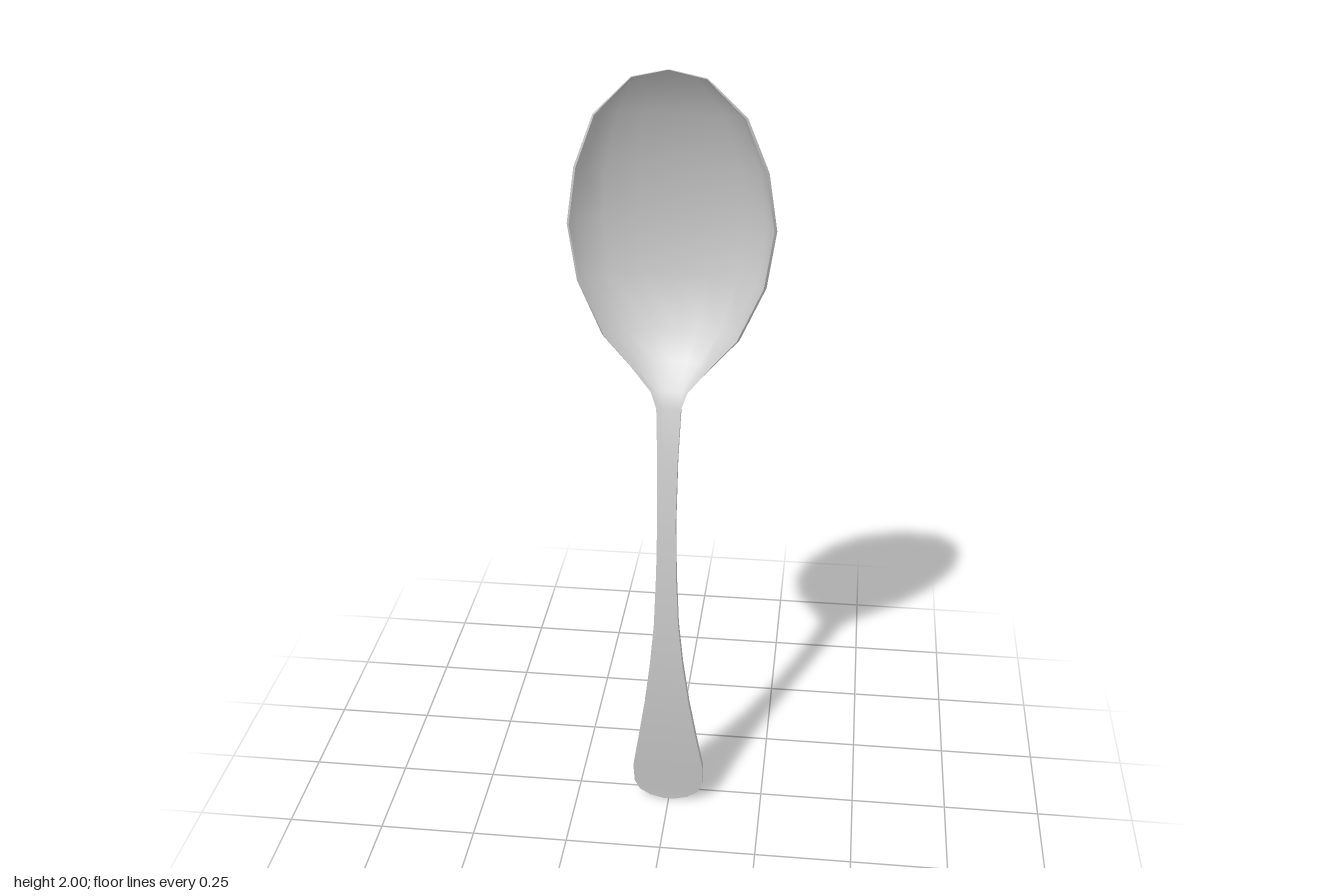
import * as THREE from 'three';
import { toCreasedNormals } from 'three/addons/utils/BufferGeometryUtils.js';

// Stations from bowl tip to handle end: [y, half width, front z, bowl depth, thickness]
const STATIONS = [
  [2.00, 0.004, 0.040, 0.000, 0.006],
  [1.98, 0.085, 0.031, 0.010, 0.008],
  [1.89, 0.175, 0.018, 0.047, 0.008],
  [1.76, 0.225, 0.001, 0.073, 0.008],
  [1.62, 0.246, -0.008, 0.087, 0.008],
  [1.48, 0.225, -0.006, 0.089, 0.008],
  [1.35, 0.165, 0.008, 0.073, 0.008],
  [1.28, 0.100, 0.020, 0.042, 0.009],
  [1.22, 0.045, 0.034, 0.007, 0.012],
  [1.18, 0.030, 0.043, 0.000, 0.016],
  [1.05, 0.025, 0.069, 0.000, 0.018],
  [0.90, 0.023, 0.090, 0.000, 0.019],
  [0.75, 0.025, 0.101, 0.000, 0.020],
  [0.60, 0.031, 0.104, 0.000, 0.020],
  [0.48, 0.042, 0.101, 0.000, 0.020],
  [0.35, 0.058, 0.092, 0.000, 0.020],
  [0.22, 0.078, 0.078, 0.000, 0.020],
  [0.12, 0.094, 0.064, 0.000, 0.020],
  [0.06, 0.092, 0.055, 0.000, 0.020],
  [0.03, 0.078, 0.051, 0.000, 0.020],
  [0.01, 0.050, 0.048, 0.000, 0.020],
  [0.00, 0.015, 0.047, 0.000, 0.020],
];
const SEGMENTS = 8;

// One closed section: front face from left to right, then back face returning
function section([y, w, front, depth, thick]) {
  const inset = Math.min(0.006, depth * 0.1); // the rim narrows the hollow
  const face = (halfWidth, z) => Array.from({ length: SEGMENTS + 1 }, (_, i) => {
    const a = (i / SEGMENTS) * Math.PI;
    return [halfWidth * Math.cos(a), y, z - depth * Math.sin(a)];
  });
  return [...face(w - inset, front), ...face(w, front - thick).reverse()];
}

function spoonGeometry() {
  const rings = STATIONS.map(section);
  const n = rings[0].length;
  const index = [];

  // Skin between neighbouring sections
  for (let k = 0; k < rings.length - 1; k++) {
    for (let j = 0; j < n; j++) {
      const a = k * n + j, b = k * n + (j + 1) % n;
      index.push(a, b, a + n, b, b + n, a + n);
    }
  }

  // Caps at the bowl tip and the handle end
  const last = (rings.length - 1) * n;
  for (let i = 0; i < SEGMENTS; i++) {
    const f = i, g = i + 1, b = n - 1 - i, c = n - 2 - i;
    index.push(f, b, g, g, b, c);
    index.push(last + f, last + g, last + b, last + g, last + c, last + b);
  }

  const geometry = new THREE.BufferGeometry();
  geometry.setAttribute('position', new THREE.Float32BufferAttribute(rings.flat(2), 3));
  geometry.setIndex(index);
  return toCreasedNormals(geometry, 0.8);
}

export function createModel() {
  const group = new THREE.Group();
  group.name = 'spoon';
  const material = new THREE.MeshStandardMaterial({ color: 0xcccccc });
  // Bowl, neck and handle form one continuous piece
  const body = new THREE.Mesh(spoonGeometry(), material);
  body.name = 'bowlAndHandle';
  group.add(body);
  return group;
}
